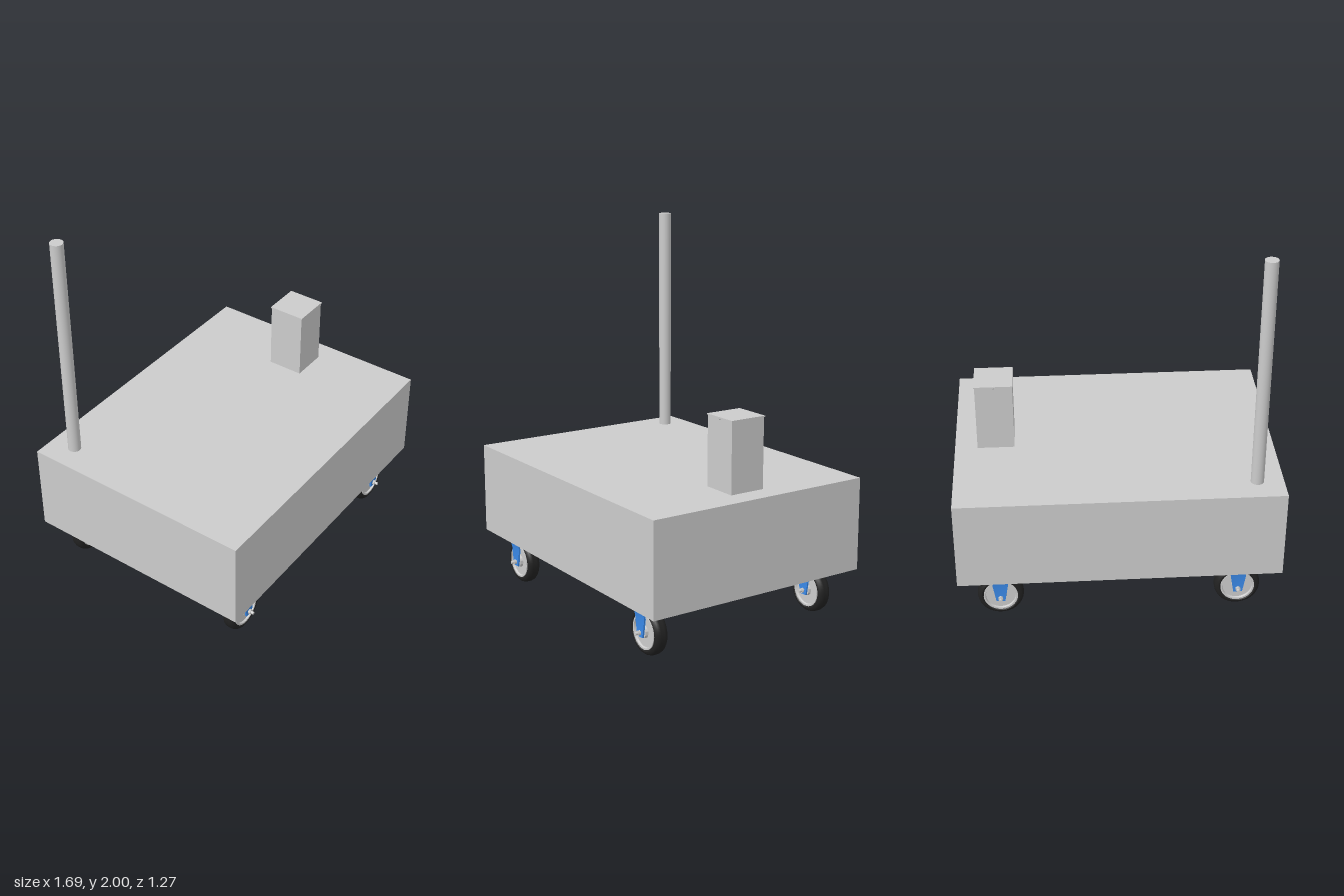
import * as THREE from 'three';
import { toCreasedNormals } from 'three/addons/utils/BufferGeometryUtils.js';

const material = (color) => new THREE.MeshStandardMaterial({ color });
const grey = material(0xcccccc);
const blue = material(0x3b8beb);
const black = material(0x222222);

function add(parent, name, geometry, mat, x = 0, y = 0, z = 0) {
  const mesh = new THREE.Mesh(geometry, mat);
  mesh.name = name;
  mesh.position.set(x, y, z);
  parent.add(mesh);
  return mesh;
}

// Ring or disc turned about the wheel axle (z); points are [radius, z].
function turned(points) {
  const profile = points.map(([r, z]) => new THREE.Vector2(r, z));
  const g = new THREE.LatheGeometry(profile, 48).rotateX(Math.PI / 2).scale(1, 1, -1);
  // the mirror above reverses the faces, so put the corner order back
  const i = g.index.array;
  for (let k = 0; k < i.length; k += 3) [i[k], i[k + 1]] = [i[k + 1], i[k]];
  g.computeVertexNormals();
  return toCreasedNormals(g, 0.6);
}

// Arched fork: a U section pulled along x, its legs narrowing towards the axle.
function forkGeometry() {
  const outer = [[0.055, 0.1], [0.055, 0.2], [0.06, 0.225], [0.036, 0.267]];
  const inner = [[0.026, 0.254], [0.05, 0.218], [0.046, 0.2], [0.046, 0.1]];
  const half = [...outer.slice().reverse(), ...[]];
  const flip = (list) => list.map(([z, y]) => [-z, y]);
  const loop = [...outer, ...flip(half), ...flip(inner.slice().reverse()), ...inner];
  const shape = new THREE.Shape(loop.map(([z, y]) => new THREE.Vector2(z, y)));
  const g = new THREE.ExtrudeGeometry(shape, { depth: 0.08, bevelEnabled: false });
  g.translate(0, 0, -0.04).rotateY(Math.PI / 2);
  const p = g.attributes.position;
  for (let i = 0; i < p.count; i++) if (p.getY(i) < 0.15) p.setX(i, p.getX(i) * 0.58);
  g.computeVertexNormals();
  return toCreasedNormals(g, 0.3);
}

function createCaster() {
  const caster = new THREE.Group();
  caster.name = 'caster';
  const y = 0.121;
  const tyre = turned([
    [0.088, -0.03], [0.098, -0.036], [0.109, -0.033], [0.117, -0.024], [0.121, -0.01],
    [0.121, 0.01], [0.117, 0.024], [0.109, 0.033], [0.098, 0.036], [0.088, 0.03], [0.088, -0.03],
  ]);
  add(caster, 'tyre', tyre, black, 0, y);
  const hub = turned([
    [0, -0.042], [0.03, -0.042], [0.032, -0.026], [0.078, -0.026], [0.081, -0.036], [0.09, -0.036],
    [0.09, 0.036], [0.081, 0.036], [0.078, 0.026], [0.032, 0.026], [0.03, 0.042], [0, 0.042],
  ]);
  add(caster, 'wheelHub', hub, grey, 0, y);
  add(caster, 'fork', forkGeometry(), blue);
  const axle = new THREE.CylinderGeometry(0.008, 0.008, 0.166, 16).rotateX(Math.PI / 2);
  add(caster, 'axle', axle, grey, 0, y);
  for (const side of [-1, 1]) {
    const nut = new THREE.CylinderGeometry(0.014, 0.014, 0.012, 6).rotateX(Math.PI / 2);
    add(caster, 'axleNut', nut, grey, 0, y, side * 0.061);
  }
  return caster;
}

export function createModel() {
  const model = new THREE.Group();
  model.name = 'cart';

  // Main body
  add(model, 'body', new THREE.BoxGeometry(1.688, 0.491, 1.272), grey, 0, 0.5115, 0);

  // Tall round post in the back corner
  add(model, 'post', new THREE.CylinderGeometry(0.034, 0.034, 1.244, 48), grey, -0.706, 1.378, -0.497);

  // Square column with a thin lid and two small fasteners
  add(model, 'column', new THREE.BoxGeometry(0.196, 0.367, 0.196), grey, 0.627, 0.9405, 0);
  add(model, 'columnLid', new THREE.BoxGeometry(0.204, 0.006, 0.204), grey, 0.627, 1.127, 0);
  for (const side of [-1, 1]) {
    add(model, 'lidScrew', new THREE.SphereGeometry(0.008, 16, 10), grey, 0.627, 1.123, side * 0.095);
  }

  // Four casters
  for (const sx of [-1, 1]) {
    for (const sz of [-1, 1]) {
      const caster = createCaster();
      caster.position.set(sx * 0.626, 0, sz * 0.514);
      model.add(caster);
    }
  }
  return model;
}
